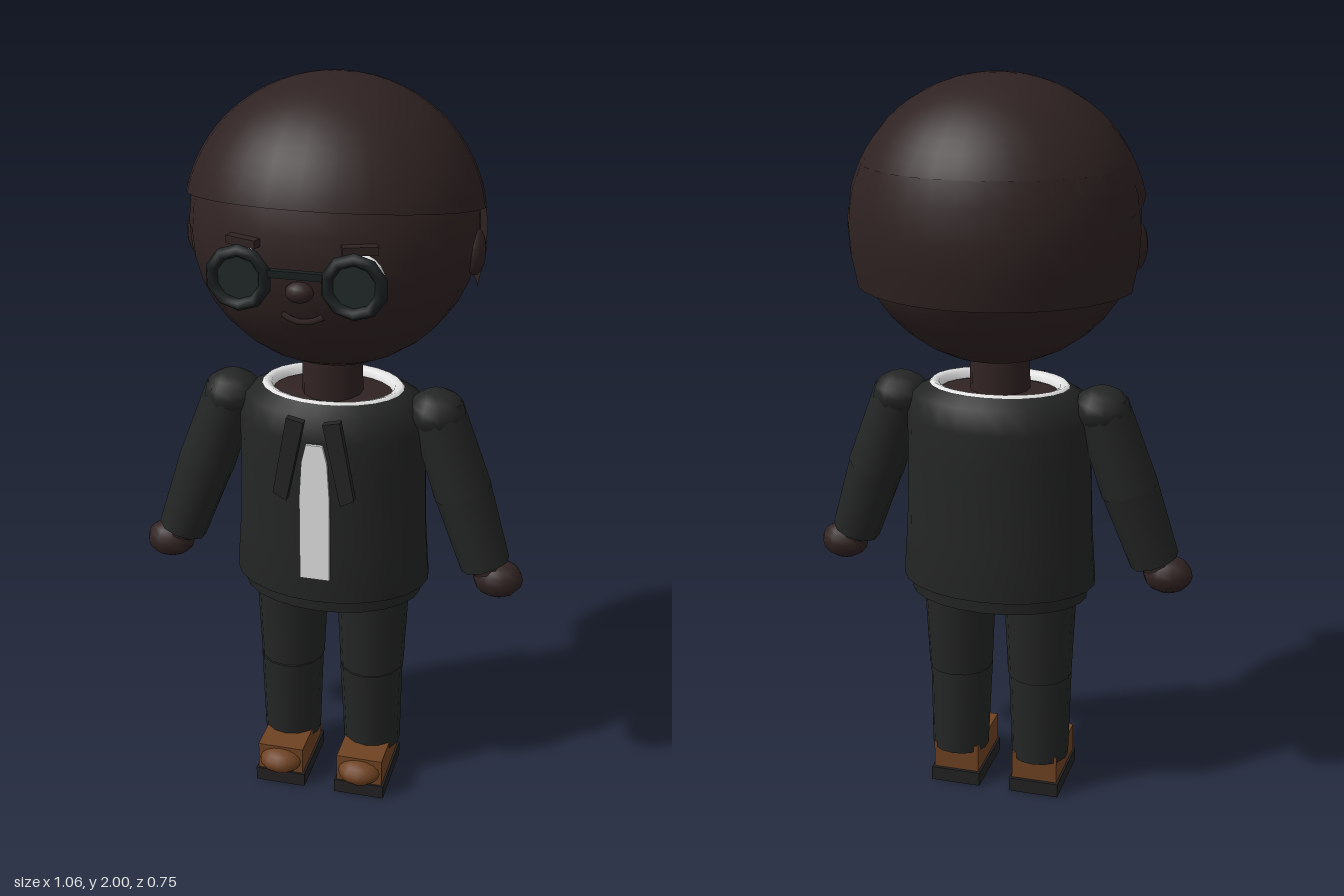
import * as THREE from 'three';

const material = (name, color, side = THREE.FrontSide) => {
  const m = new THREE.MeshStandardMaterial({ color, side });
  m.name = name;
  return m;
};

export function createModel() {
  const skin = material('skin', 0x312323);
  const hair = material('hair', 0x2f2222, THREE.DoubleSide);
  const cloth = material('suit', 0x242525, THREE.DoubleSide);
  const white = material('white', 0xe4e4e4, THREE.DoubleSide);
  const frame = material('spectacle frame', 0x1b1f20);
  const lens = material('lens', 0x212829);
  const leather = material('shoe leather', 0x6e4222);
  const sole = material('sole', 0x232122);

  const model = new THREE.Group();
  model.name = 'suitedFigure';

  const add = (name, geometry, mat, x = 0, y = 0, z = 0, parent = model) => {
    const mesh = new THREE.Mesh(geometry, mat);
    mesh.name = name;
    mesh.position.set(x, y, z);
    parent.add(mesh);
    return mesh;
  };
  const ball = (name, mat, rx, ry, rz, x, y, z, w = 14, h = 10) =>
    add(name, new THREE.SphereGeometry(1, w, h).scale(rx, ry, rz), mat, x, y, z);
  const lathe = (points, depth, segments = 24) => new THREE.LatheGeometry(
    points.map(([r, y]) => new THREE.Vector2(r, y)), segments).scale(1, 1, depth);
  const box = (name, mat, w, h, d, x, y, z) =>
    add(name, new THREE.BoxGeometry(w, h, d), mat, x, y, z);
  // Tapered limb between two points
  const limb = (name, mat, a, b, ra, rb, sides = 12) => {
    const from = new THREE.Vector3(...a), to = new THREE.Vector3(...b);
    const dir = from.clone().sub(to);
    const mesh = add(name, new THREE.CylinderGeometry(ra, rb, dir.length(), sides), mat);
    mesh.position.copy(from).add(to).multiplyScalar(0.5);
    mesh.quaternion.setFromUnitVectors(new THREE.Vector3(0, 1, 0), dir.normalize());
    return mesh;
  };
  // Thin plate from an outline
  const plate = (name, mat, points, depth, z) => add(name, new THREE.ExtrudeGeometry(
    new THREE.Shape(points.map(([x, y]) => new THREE.Vector2(x, y))),
    { depth, bevelEnabled: false }), mat, 0, 0, z);

  // Head
  ball('head', skin, 0.37, 0.365, 0.342, 0, 1.625, -0.01, 24, 18);
  ball('nose', skin, 0.035, 0.026, 0.026, 0, 1.555, 0.33);
  const smile = new THREE.QuadraticBezierCurve3(
    new THREE.Vector3(-0.05, 1.487, 0.3), new THREE.Vector3(0, 1.458, 0.312),
    new THREE.Vector3(0.05, 1.487, 0.3));
  add('mouth', new THREE.TubeGeometry(smile, 8, 0.008, 5), skin);
  limb('neck', skin, [0, 1.29, 0.015], [0, 1.12, 0.015], 0.078, 0.082, 14);

  // Hair: tilted crown plus a straight curtain round the back
  const tilt = 0.18;
  const crown = new THREE.SphereGeometry(1, 28, 14, 0, Math.PI * 2, 0, 1.41)
    .rotateX(-tilt).scale(0.384, 0.372, 0.36);
  add('hairCrown', crown, hair, 0, 1.628, -0.01);
  const curtain = new THREE.LatheGeometry([
    [0.364, 1.47], [0.38, 1.55], [0.385, 1.63], [0.373, 1.72], [0.35, 1.78],
  ].map(([r, y]) => new THREE.Vector2(r, y)), 16, Math.PI / 2 + 0.12, Math.PI - 0.24)
    .scale(1, 1, 0.945);
  add('hairBack', curtain, hair, 0, 0, -0.01);

  // Spectacles
  box('spectacleBridge', frame, 0.14, 0.018, 0.018, 0, 1.608, 0.36);

  for (const s of [1, -1]) {
    ball('ear', skin, 0.026, 0.06, 0.044, s * 0.362, 1.58, 0);
    ball('eye', white, 0.06, 0.063, 0.025, s * 0.142, 1.59, 0.302);
    const pupil = add('pupil', new THREE.CylinderGeometry(0.052, 0.052, 0.008, 16).rotateX(Math.PI / 2),
      frame, s * 0.142, 1.59, 0.328);
    pupil.rotation.y = s * 0.15;
    const brow = box('eyebrow', hair, 0.085, 0.02, 0.025, s * 0.142, 1.665, 0.312);
    brow.rotation.y = s * 0.35;
    add('spectacleRim', new THREE.TorusGeometry(0.067, 0.016, 6, 10).rotateZ(Math.PI / 10),
      frame, s * 0.14, 1.59, 0.36);
    add('lens', new THREE.CylinderGeometry(0.056, 0.056, 0.008, 10).rotateX(Math.PI / 2),
      lens, s * 0.14, 1.59, 0.358);

    // Sleeves and hands
    ball('shoulder', cloth, 0.078, 0.062, 0.08, s * 0.278, 1.142, 0.012, 10, 8);
    limb('upperSleeve', cloth, [s * 0.278, 1.15, 0.012], [s * 0.358, 0.92, 0.02], 0.072, 0.078, 10);
    limb('lowerSleeve', cloth, [s * 0.355, 0.93, 0.02], [s * 0.427, 0.722, 0.035], 0.077, 0.067, 10);
    limb('wrist', skin, [s * 0.42, 0.74, 0.034], [s * 0.45, 0.69, 0.036], 0.045, 0.045, 10);
    ball('hand', skin, 0.068, 0.052, 0.056, s * 0.463, 0.685, 0.037, 10, 8);

    // Trousers
    limb('thigh', cloth, [s * 0.115, 0.64, 0.015], [s * 0.115, 0.355, 0.018], 0.102, 0.089, 14);
    limb('shin', cloth, [s * 0.115, 0.36, 0.025], [s * 0.118, 0.1, 0.018], 0.088, 0.08, 14);

    // Shoes
    box('shoeSole', sole, 0.142, 0.04, 0.22, s * 0.115, 0.02, 0.062);
    box('shoeUpper', leather, 0.13, 0.08, 0.205, s * 0.115, 0.08, 0.064);
    ball('shoeToe', leather, 0.062, 0.037, 0.055, s * 0.115, 0.077, 0.158, 12, 8);

    // Lapels
    plate('lapel', cloth, [[s * 0.025, 1.165], [s * 0.07, 1.175], [s * 0.108, 0.96],
      [s * 0.072, 0.94]], 0.022, 0.198);
  }

  // Jacket with open neckline
  add('jacket', lathe([[0.25, 0.635], [0.268, 0.64], [0.257, 0.8], [0.252, 1.0],
    [0.252, 1.1], [0.236, 1.165], [0.19, 1.19]], 0.735), cloth, 0, 0, 0.01);
  add('jacketHem', lathe([[0.246, 0.6], [0.25, 0.645]], 0.72), cloth, 0, 0, 0.01);
  add('hips', lathe([[0, 0.615], [0.18, 0.63], [0.235, 0.66]], 0.7), skin, 0, 0, 0.01);

  // Shirt collar and chest
  add('shirtCollar', lathe([[0.19, 1.19], [0.183, 1.198], [0.165, 1.192], [0.16, 1.172]], 0.735),
    white, 0, 0, 0.01);
  add('chest', lathe([[0.175, 1.168], [0.1, 1.178], [0, 1.18]], 0.72), skin, 0, 0, 0.01);
  plate('shirtFront', white, [[-0.04, 0.71], [0.04, 0.71], [0.04, 0.95], [0.034, 1.05],
    [0.022, 1.1], [-0.022, 1.1], [-0.034, 1.05], [-0.04, 0.95]], 0.009, 0.2);

  return model;
}
